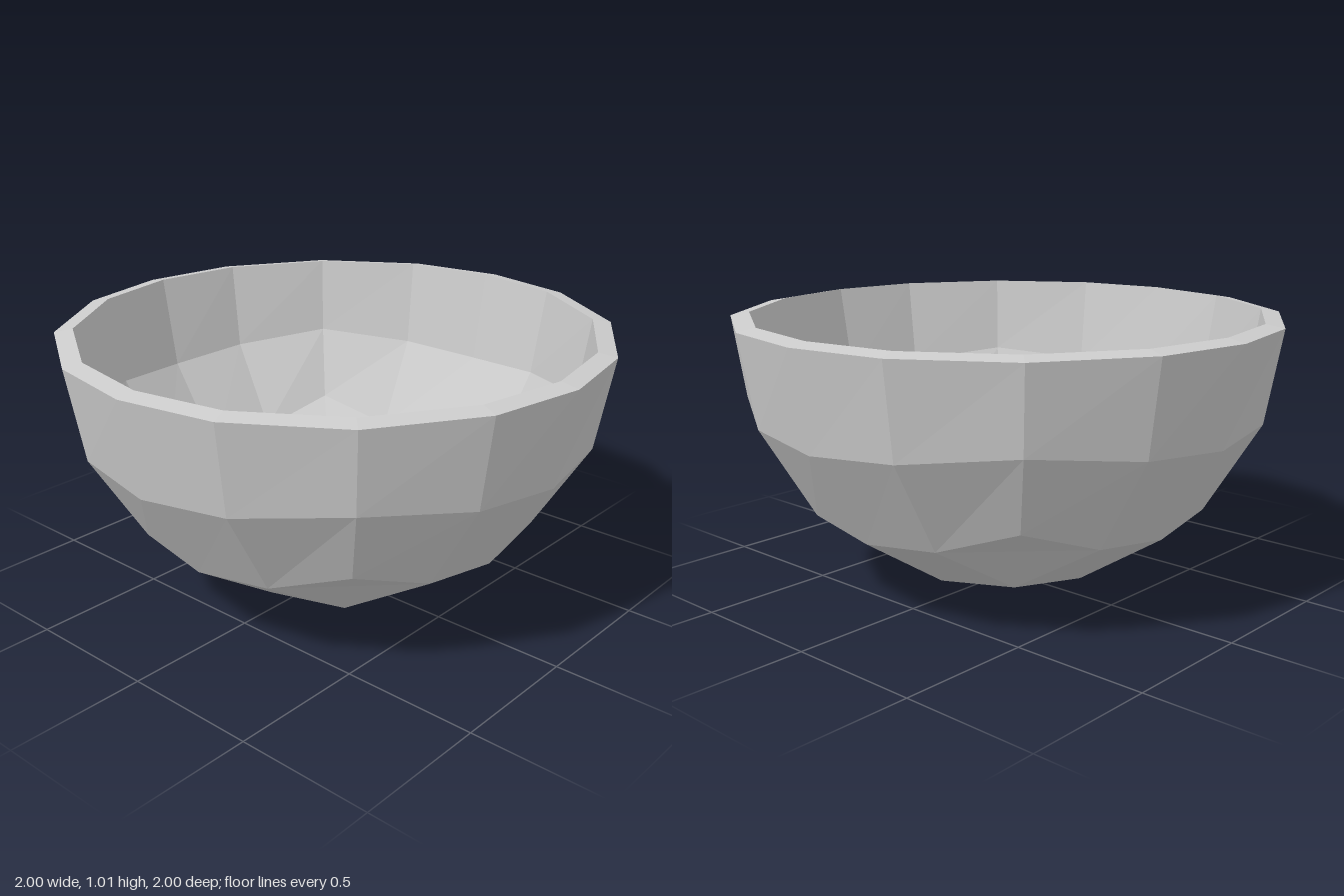
import * as THREE from 'three';

const THICKNESS = 0.067;
const RIM_LIFT = 0.012;

// Grid line position on a cube face (-2..2), slightly wider along the face borders
const spread = (i, j) => Math.sign(i) * (Math.abs(i) === 2 ? 1 : i === 0 ? 0 : Math.abs(j) === 2 ? 0.44 : 0.38);

// Point of the cube-sphere, outer or inner skin, with the sphere centre at y = 1
function skinPoint({ u, v, n }, i, j, inner) {
  const p = n.clone().addScaledVector(u, spread(i, j)).addScaledVector(v, spread(j, i)).normalize();
  const onRim = Math.abs(p.y) < 1e-6;
  if (inner) p.multiplyScalar(1 - THICKNESS);
  p.y += 1 + (inner && onRim ? RIM_LIFT : 0);
  return p;
}

// Flat-shaded mesh from a list of quads
function quadMesh(name, quads, material) {
  const points = quads.flatMap(([a, b, c, d]) => [a, b, c, a, c, d]);
  const geometry = new THREE.BufferGeometry().setFromPoints(points);
  geometry.computeVertexNormals();
  const mesh = new THREE.Mesh(geometry, material);
  mesh.name = name;
  return mesh;
}

export function createModel() {
  const group = new THREE.Group();
  group.name = 'bowl';
  const material = new THREE.MeshStandardMaterial({ color: 0xcccccc, flatShading: true });

  // Bottom patch plus the lower halves of four side patches
  const V = (x, y, z) => new THREE.Vector3(x, y, z);
  const patches = [{ u: V(1, 0, 0), v: V(0, 0, 1), n: V(0, -1, 0), top: 2 }];
  for (let k = 0; k < 4; k++) {
    const c = Math.round(Math.cos(k * Math.PI / 2)), s = Math.round(Math.sin(k * Math.PI / 2));
    patches.push({ u: V(c, 0, -s), v: V(0, 1, 0), n: V(s, 0, c), top: 0 });
  }

  const outer = [], inner = [], rim = [];
  for (const patch of patches) {
    for (let i = -2; i < 2; i++) {
      for (let j = -2; j < patch.top; j++) {
        const corners = (inside) => [[i, j], [i + 1, j], [i + 1, j + 1], [i, j + 1]]
          .map(([a, b]) => skinPoint(patch, a, b, inside));
        outer.push(corners(false));
        inner.push(corners(true).reverse());
      }
      // Rim strip joining the two skins
      if (patch.top === 0) {
        rim.push([
          skinPoint(patch, i, 0, false), skinPoint(patch, i + 1, 0, false),
          skinPoint(patch, i + 1, 0, true), skinPoint(patch, i, 0, true),
        ]);
      }
    }
  }

  group.add(
    quadMesh('outerShell', outer, material),
    quadMesh('innerShell', inner, material),
    quadMesh('rim', rim, material),
  );
  return group;
}
